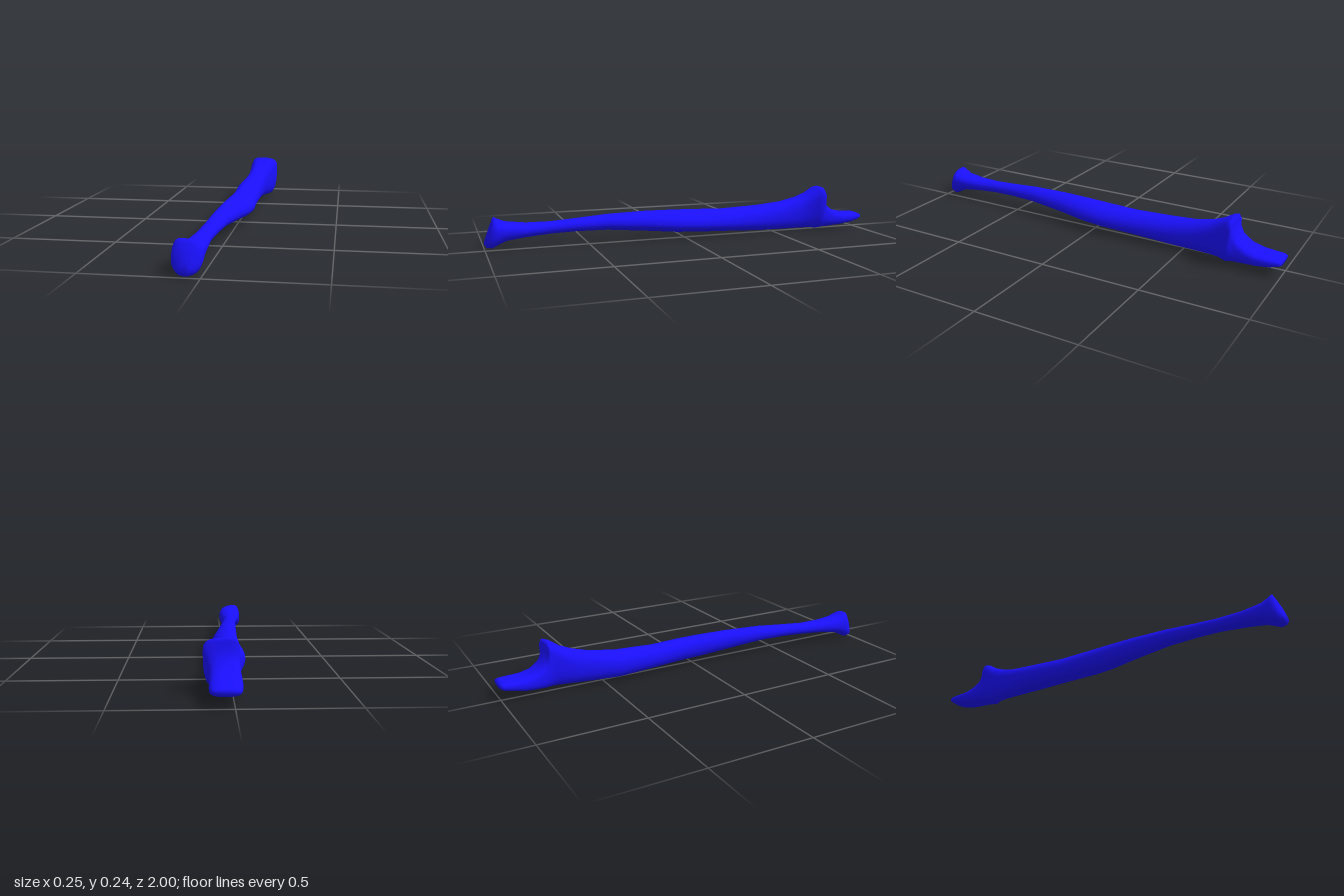
import * as THREE from 'three';

// Each cross-section: [z, lean of the top in z, left x, right x, bottom y, top y,
//   top point, right point, bottom point, left point (fractions across the section), corner power]
const head = [
  [1.0, -0.025, -0.08, -0.035, 0.02, 0.095, 0.35, 0.55, 0.5, 0.4, 0.9],
  [0.988, -0.03, -0.113, -0.012, 0.003, 0.132, 0.3, 0.55, 0.5, 0.4, 0.85],
  [0.962, -0.012, -0.125, 0.002, 0.0, 0.147, 0.3, 0.55, 0.5, 0.4, 0.85],
  [0.935, 0, -0.123, 0.004, 0.014, 0.14, 0.32, 0.55, 0.5, 0.42, 0.85],
  [0.895, 0, -0.115, 0, 0.032, 0.125, 0.4, 0.55, 0.5, 0.45, 0.9],
  [0.8, 0, -0.102, -0.007, 0.045, 0.115, 0.45, 0.5, 0.5, 0.5, 0.95],
];
const shaft = [
  [0.68, 0, -0.088, -0.014, 0.055, 0.115, 0.45, 0.5, 0.5, 0.5, 0.95],
  [0.55, 0, -0.078, -0.004, 0.06, 0.125, 0.42, 0.48, 0.48, 0.5, 0.97],
  [0.4, 0, -0.072, 0.012, 0.059, 0.138, 0.4, 0.45, 0.45, 0.5, 1],
  [0.2, 0, -0.065, 0.04, 0.043, 0.144, 0.32, 0.42, 0.4, 0.55, 1],
  [0.05, 0, -0.061, 0.066, 0.03, 0.143, 0.28, 0.4, 0.38, 0.55, 1],
  [-0.06, 0, -0.06, 0.075, 0.025, 0.14, 0.28, 0.4, 0.4, 0.55, 1],
  [-0.22, 0, -0.065, 0.064, 0.018, 0.135, 0.35, 0.42, 0.45, 0.5, 0.97],
  [-0.42, 0, -0.075, 0.06, 0.009, 0.143, 0.45, 0.45, 0.5, 0.5, 0.92],
  [-0.55, 0, -0.054, 0.064, 0.01, 0.158, 0.45, 0.5, 0.5, 0.5, 0.88],
];
const upperEnd = [
  [-0.64, 0, -0.04, 0.072, 0.012, 0.181, 0.45, 0.55, 0.5, 0.5, 0.82],
  [-0.69, -0.008, -0.035, 0.086, 0.013, 0.204, 0.42, 0.6, 0.48, 0.6, 0.75],
  [-0.72, -0.018, -0.033, 0.113, 0.013, 0.23, 0.4, 0.72, 0.45, 0.65, 0.68],
  [-0.738, -0.024, -0.032, 0.123, 0.013, 0.236, 0.38, 0.74, 0.45, 0.65, 0.65],
  [-0.752, -0.018, -0.032, 0.118, 0.014, 0.222, 0.38, 0.74, 0.45, 0.65, 0.65],
  [-0.768, 0, -0.032, 0.106, 0.014, 0.19, 0.4, 0.65, 0.45, 0.6, 0.7],
  [-0.788, 0, -0.033, 0.098, 0.015, 0.145, 0.4, 0.5, 0.45, 0.55, 0.72],
  [-0.835, 0, -0.037, 0.098, 0.018, 0.108, 0.4, 0.5, 0.45, 0.55, 0.75],
  [-0.885, 0, -0.038, 0.101, 0.023, 0.092, 0.45, 0.5, 0.45, 0.55, 0.75],
  [-0.945, 0, -0.032, 0.1, 0.034, 0.087, 0.5, 0.5, 0.5, 0.55, 0.75],
  [-0.985, 0, -0.026, 0.094, 0.045, 0.085, 0.5, 0.5, 0.5, 0.5, 0.75],
  [-1, 0, -0.018, 0.086, 0.055, 0.078, 0.5, 0.5, 0.5, 0.5, 0.75],
];

const SIDES = 32;
const bend = (v, p) => Math.sign(v) * Math.pow(Math.abs(v), p);

// Four rounded quarters joining the top, right, bottom and left points
function ring([z, lean, x0, x1, y0, y1, top, right, bottom, left, p]) {
  const points = [];
  const w = x1 - x0, h = y1 - y0;
  for (let j = 0; j < SIDES; j++) {
    const a = (j / SIDES) * Math.PI * 2;
    const c = Math.abs(Math.cos(a)) < 1e-9 ? 0 : bend(Math.cos(a), p);
    const s = Math.abs(Math.sin(a)) < 1e-9 ? 0 : bend(Math.sin(a), p);
    const cx = x0 + w * (s >= 0 ? top : bottom);
    const cy = y0 + h * (c >= 0 ? right : left);
    // Blend the quarter centres so that the seams stay continuous
    const x = cx + c * (c >= 0 ? x1 - cx : cx - x0);
    const y = cy + s * (s >= 0 ? y1 - cy : cy - y0);
    points.push([x, y, z + lean * (y - y0) / h]);
  }
  return points;
}

// Skin the rings and close both ends
function loft(sections) {
  const rings = sections.map(ring);
  const positions = rings.flat(2);
  const index = [];
  for (let i = 0; i < rings.length - 1; i++) {
    for (let j = 0; j < SIDES; j++) {
      const k = (j + 1) % SIDES;
      const a = i * SIDES + j, b = i * SIDES + k;
      index.push(a, a + SIDES, b, b, a + SIDES, b + SIDES);
    }
  }
  [0, rings.length - 1].forEach((r, end) => {
    const centre = positions.length / 3;
    for (let axis = 0; axis < 3; axis++) {
      positions.push(rings[r].reduce((sum, q) => sum + q[axis], 0) / SIDES);
    }
    for (let j = 0; j < SIDES; j++) {
      const a = r * SIDES + j, b = r * SIDES + (j + 1) % SIDES;
      if (end === 0) index.push(centre, a, b);
      else index.push(centre, b, a);
    }
  });
  const geometry = new THREE.BufferGeometry();
  geometry.setAttribute('position', new THREE.Float32BufferAttribute(positions, 3));
  geometry.setIndex(index);
  geometry.computeVertexNormals();
  return geometry;
}

export function createModel() {
  const group = new THREE.Group();
  group.name = 'forearmBone';
  const material = new THREE.MeshStandardMaterial({ color: 0x1a10ff });
  // One continuous skin: small head, slender shaft, hooked upper end
  const bone = new THREE.Mesh(loft([...head, ...shaft, ...upperEnd]), material);
  bone.name = 'bone';
  group.add(bone);
  return group;
}
